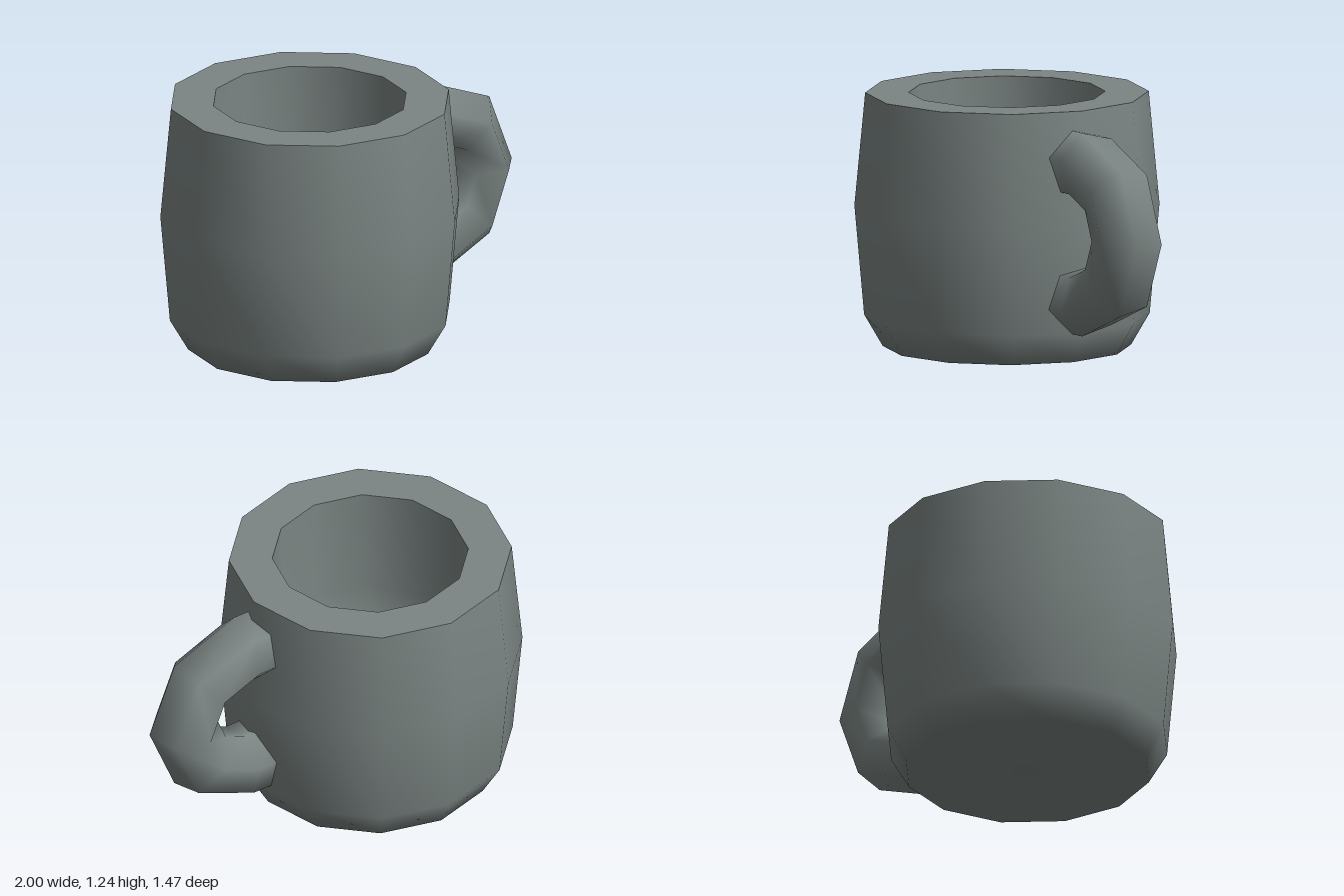
import * as THREE from 'three';

const SIDES = 12;

// Turned surface from [radius, height] pairs
function turned(name, profile, material) {
  const points = profile.map(([r, y]) => new THREE.Vector2(r, y));
  const mesh = new THREE.Mesh(new THREE.LatheGeometry(points, SIDES), material);
  mesh.name = name;
  mesh.position.x = -0.263;
  return mesh;
}

// Half ring of hexagonal section with straight stubs running into the wall
function handleGeometry() {
  const cx = 0.5, cy = 0.65, ring = 0.33, tube = 0.174, n = 6;
  const rows = [[90, -0.2], [90, 0], [45, 0], [0, 0], [-45, 0], [-90, 0], [-90, -0.2]];
  const positions = [], index = [];
  rows.forEach(([deg, shift], i) => {
    const u = THREE.MathUtils.degToRad(deg);
    for (let j = 0; j < n; j++) {
      const a = THREE.MathUtils.degToRad(16 + j * 60);
      const r = ring + tube * Math.cos(a);
      positions.push(cx + shift + r * Math.cos(u), cy + r * Math.sin(u), 0.005 + tube * Math.sin(a));
      if (i < rows.length - 1) {
        const p = i * n + j, q = i * n + (j + 1) % n;
        index.push(p, q, p + n, q, q + n, p + n);
      }
    }
  });
  const geometry = new THREE.BufferGeometry();
  geometry.setAttribute('position', new THREE.Float32BufferAttribute(positions, 3));
  geometry.setIndex(index);
  geometry.computeVertexNormals();
  return geometry;
}

export function createModel() {
  const group = new THREE.Group();
  group.name = 'mug';
  const clay = new THREE.MeshStandardMaterial({ color: 0x7b8583 });
  clay.name = 'grey clay';

  // Bulging outer wall with a bevelled foot and closed base
  group.add(turned('outerWall', [[0, 0], [0.6, 0], [0.69, 0.155], [0.737, 0.69], [0.685, 1.24]], clay));
  // Flat rim
  group.add(turned('rim', [[0.685, 1.24], [0.475, 1.24]], clay));
  // Hollow inside
  group.add(turned('innerWall', [[0.475, 1.24], [0.47, 0.69], [0.44, 0.25], [0, 0.2]], clay));

  const handle = new THREE.Mesh(handleGeometry(), clay);
  handle.name = 'handle';
  group.add(handle);
  return group;
}
